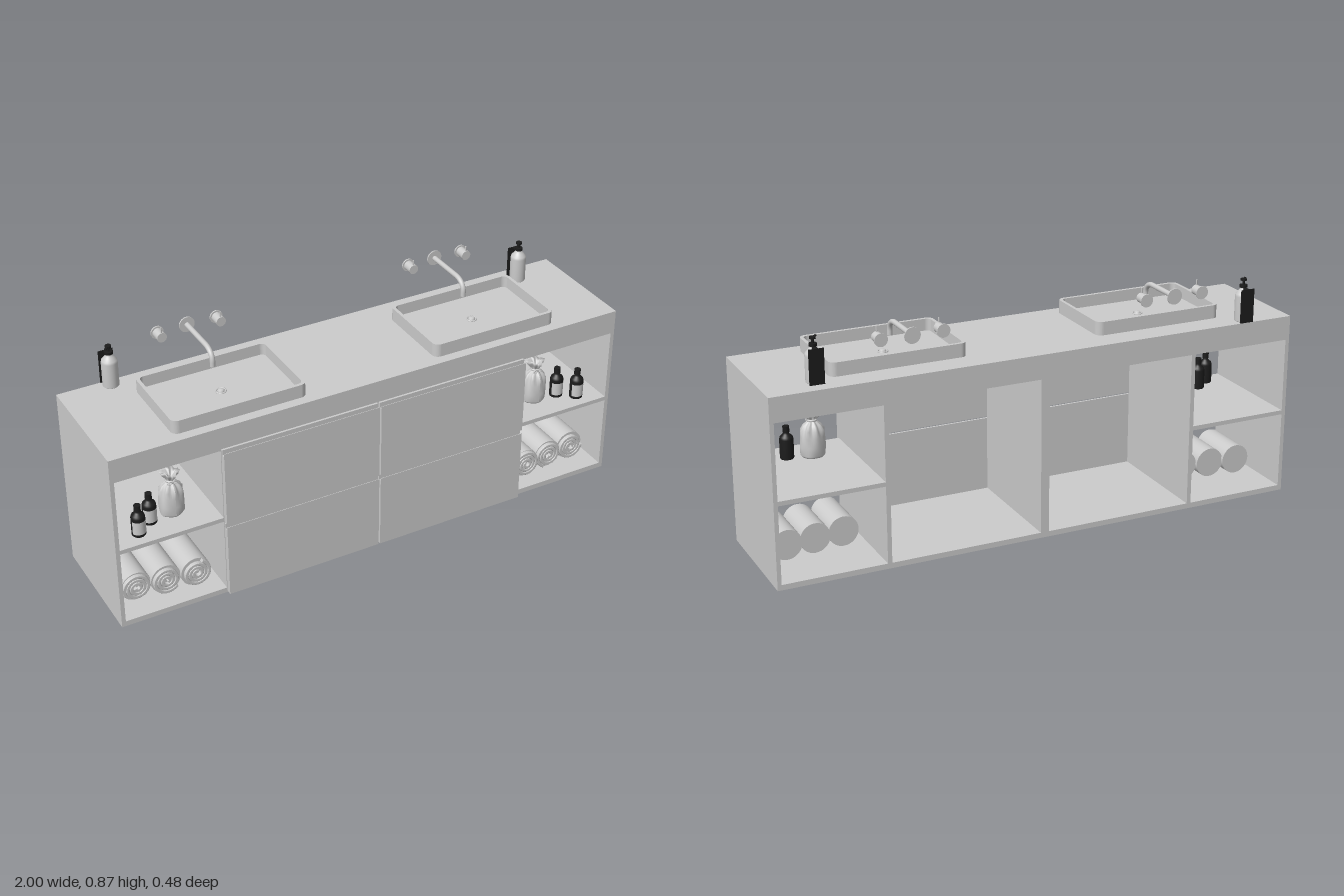
import * as THREE from 'three';

const grey = new THREE.MeshStandardMaterial({ color: 0xcccccc });
const dark = new THREE.MeshStandardMaterial({ color: 0x1c1c1c });
const thin = new THREE.MeshStandardMaterial({ color: 0xcccccc, side: THREE.DoubleSide });

function add(parent, name, geo, x = 0, y = 0, z = 0, mat = grey) {
  const m = new THREE.Mesh(geo, mat);
  m.name = name;
  m.position.set(x, y, z);
  parent.add(m);
  return m;
}

function group(parent, name, x, y, z) {
  const g = new THREE.Group();
  g.name = name;
  g.position.set(x, y, z);
  parent.add(g);
  return g;
}

// Box given by its limits on each axis
function box(parent, name, [x0, x1], [y0, y1], [z0, z1], mat) {
  return add(parent, name, new THREE.BoxGeometry(x1 - x0, y1 - y0, z1 - z0),
    (x0 + x1) / 2, (y0 + y1) / 2, (z0 + z1) / 2, mat);
}

const lathe = (pts, seg = 32) => new THREE.LatheGeometry(pts.map(p => new THREE.Vector2(...p)), seg);
const cyl = (r, h, seg = 32) => new THREE.CylinderGeometry(r, r, h, seg);
const cylZ = (r, h) => cyl(r, h).rotateX(Math.PI / 2);

function roundedRect(w, d, r, Type = THREE.Shape) {
  const s = new Type();
  s.absarc(w / 2 - r, d / 2 - r, r, 0, Math.PI / 2);
  s.absarc(-w / 2 + r, d / 2 - r, r, Math.PI / 2, Math.PI);
  s.absarc(-w / 2 + r, -d / 2 + r, r, Math.PI, Math.PI * 1.5);
  s.absarc(w / 2 - r, -d / 2 + r, r, Math.PI * 1.5, Math.PI * 2);
  s.closePath();
  return s;
}

// Drawer front: section with a finger groove along the top edge
function drawerFront(parent, name, x0, x1, y0, y1) {
  const s = new THREE.Shape([[0.217, y0], [0.238, y0], [0.238, y1 - 0.009], [0.236, y1 - 0.009],
    [0.236, y1 - 0.02], [0.225, y1 - 0.02], [0.225, y1], [0.217, y1]].map(p => new THREE.Vector2(...p)));
  const geo = new THREE.ExtrudeGeometry(s, { depth: x1 - x0, bevelEnabled: false }).rotateY(-Math.PI / 2);
  add(parent, name, geo, x1, 0, 0);
}

function basin(parent, x) {
  const g = group(parent, 'basin', x, 0.69, 0.02);
  const opts = { bevelEnabled: false, curveSegments: 8 };
  const wall = roundedRect(0.5, 0.32, 0.025);
  wall.holes.push(roundedRect(0.476, 0.296, 0.018, THREE.Path));
  add(g, 'basinWall', new THREE.ExtrudeGeometry(wall, { ...opts, depth: 0.05 }).rotateX(-Math.PI / 2));
  add(g, 'basinFloor', new THREE.ExtrudeGeometry(roundedRect(0.48, 0.3, 0.02), { ...opts, depth: 0.006 })
    .rotateX(-Math.PI / 2));
  add(g, 'drainRing', new THREE.TorusGeometry(0.017, 0.003, 8, 32).rotateX(Math.PI / 2), 0, 0.007, 0);
  add(g, 'drainPlug', lathe([[0.012, 0], [0.012, 0.006], [0.008, 0.009], [0, 0.01]]), 0, 0.005, 0);
}

function faucet(parent, x) {
  const g = group(parent, 'faucet', x, 0.829, -0.237);
  const path = new THREE.CurvePath();
  const V = (y, z) => new THREE.Vector3(0, y, z);
  path.add(new THREE.LineCurve3(V(0, 0), V(0, 0.155)));
  path.add(new THREE.CubicBezierCurve3(V(0, 0.155), V(0, 0.185), V(-0.015, 0.207), V(-0.042, 0.207)));
  path.add(new THREE.LineCurve3(V(-0.042, 0.207), V(-0.059, 0.207)));
  add(g, 'spout', new THREE.TubeGeometry(path, 48, 0.0095, 16), 0, 0, 0, thin);
  add(g, 'spoutFlange', cylZ(0.029, 0.005), 0, 0, 0.0025);
  for (const s of [-1, 1]) {
    const k = group(g, 'tapHandle', s * 0.112, 0, 0);
    add(k, 'handleFlange', cylZ(0.024, 0.005), 0, 0, 0.0025);
    add(k, 'handleKnob', cylZ(0.018, 0.042), 0, 0, 0.024);
    add(k, 'handlePin', cyl(0.0025, 0.03, 12), 0, 0.022, 0.04);
  }
}

function soapDispenser(parent, x, z) {
  const g = group(parent, 'soapDispenser', x, 0.69, z);
  add(g, 'soapBottle', lathe([[0, 0], [0.026, 0], [0.029, 0.003], [0.029, 0.094], [0.027, 0.103],
    [0.018, 0.114], [0.013, 0.12], [0.011, 0.124], [0.011, 0.13], [0, 0.13]]));
  add(g, 'collar', cyl(0.014, 0.01), 0, 0.131, 0, dark);
  add(g, 'pumpStem', cyl(0.0045, 0.018, 12), 0, 0.143, 0, dark);
  add(g, 'pumpHead', cyl(0.011, 0.007), 0, 0.155, 0, dark);
  const nozzle = add(g, 'nozzle', new THREE.BoxGeometry(0.007, 0.005, 0.026), -0.009, 0.155, 0.009, dark);
  nozzle.rotation.y = -Math.PI / 4;
  // Holder plate with an arm to the neck
  box(g, 'holderPlate', [-0.027, 0.027], [0, 0.125], [-0.032, -0.029], dark);
  box(g, 'holderArm', [-0.008, 0.008], [0.121, 0.125], [-0.031, -0.01], dark);
}

function smallBottle(parent, x, z) {
  const g = group(parent, 'smallBottle', x, 0.323, z);
  add(g, 'bottleBody', lathe([[0, 0], [0.023, 0], [0.025, 0.003], [0.025, 0.073], [0.022, 0.082],
    [0.012, 0.091], [0.01, 0.095], [0.01, 0.1], [0, 0.1]]), 0, 0, 0, dark);
  add(g, 'bottleCap', cyl(0.012, 0.022), 0, 0.109, 0, dark);
  add(g, 'bottleLabel', new THREE.CylinderGeometry(0.0256, 0.0256, 0.05, 24, 1, true, -1.3, 2.6), 0, 0.037, 0, thin);
}

// Cloth bag: lathe pressed into soft folds, tied at the neck
function clothBag(parent, x, z) {
  const g = group(parent, 'clothBag', x, 0.323, z);
  const geo = lathe([[0, 0], [0.038, 0], [0.044, 0.008], [0.046, 0.04], [0.044, 0.075], [0.04, 0.1],
    [0.03, 0.117], [0.017, 0.128], [0.013, 0.135], [0.018, 0.145], [0.028, 0.158], [0.032, 0.17], [0.02, 0.162],
    [0.006, 0.145]], 48);
  const p = geo.attributes.position;
  for (let i = 0; i < p.count; i++) {
    const [px, y, pz] = [p.getX(i), p.getY(i), p.getZ(i)];
    const a = Math.atan2(pz, px);
    const fold = y > 0.09 ? 0.13 * Math.sin(a * 8 + y * 20) : 0.03 * Math.sin(a * 5 + y * 60);
    p.setXYZ(i, px * (1 + fold), y + (y > 0.14 ? 0.005 * Math.sin(a * 3) : 0), pz * (0.88 + fold));
  }
  geo.computeVertexNormals();
  add(g, 'bagCloth', geo, 0, 0, 0, thin);
  add(g, 'bagTie', new THREE.TorusGeometry(0.0145, 0.004, 8, 24).rotateX(Math.PI / 2), 0, 0.134, 0);
  for (const s of [-1, 1]) {
    const bow = add(g, 'bowLoop', new THREE.TorusGeometry(0.008, 0.002, 6, 16), s * 0.009, 0.13, 0.017);
    bow.scale.y = 0.7;
  }
}

// Spiral band, shared by all rolled towels
function spiralGeometry() {
  const n = 110, turns = 3.4, outer = [], inner = [];
  for (let i = 0; i <= n; i++) {
    const t = i / n, a = t * turns * Math.PI * 2 - 0.8, r = 0.007 + 0.047 * t;
    outer.push(new THREE.Vector2(Math.cos(a) * r, Math.sin(a) * r));
    inner.unshift(new THREE.Vector2(Math.cos(a) * (r - 0.0085), Math.sin(a) * (r - 0.0085)));
  }
  inner.pop();
  inner.pop();
  const keep = inner.slice(0, n - 12), tip = outer.slice(12);
  return new THREE.ExtrudeGeometry(new THREE.Shape([...tip, ...keep]),
    { depth: 0.014, bevelThickness: 0.003, bevelSize: 0.0018, bevelSegments: 2 });
}

function rolledTowel(parent, spiral, x, zFront, turn) {
  const g = group(parent, 'rolledTowel', x, 0.077, zFront);
  add(g, 'towelRoll', cylZ(0.056, 0.185), 0, 0, -0.1065);
  add(g, 'towelSpiral', spiral, 0, 0, -0.017).rotation.z = turn;
}

export function createModel() {
  const model = new THREE.Group();
  model.name = 'doubleVanity';
  const Z = [-0.237, 0.217];

  // Cabinet carcass, open at the back
  const cabinet = group(model, 'cabinet', 0, 0, 0);
  box(cabinet, 'countertop', [-1, 1], [0.6, 0.69], Z);
  box(cabinet, 'bottomPanel', [-1, 1], [0, 0.02], Z);
  box(cabinet, 'centreDivider', [-0.016, 0.016], [0.02, 0.6], Z);
  for (const s of [-1, 1]) {
    const span = (a, b) => (s > 0 ? [a, b] : [-b, -a]);
    box(cabinet, 'sidePanel', span(0.985, 1), [0.02, 0.6], Z);
    box(cabinet, 'divider', span(0.586, 0.602), [0.02, 0.6], Z);
    box(cabinet, 'shelf', span(0.602, 0.985), [0.307, 0.323], Z);
    const [x0, x1] = span(0.003, 0.6);
    drawerFront(cabinet, 'lowerDrawerFront', x0, x1, 0.005, 0.302);
    drawerFront(cabinet, 'upperDrawerFront', x0, x1, 0.308, 0.606);
  }

  // Washing places
  for (const x of [-0.503, 0.501]) basin(model, x);
  for (const x of [-0.507, 0.493]) faucet(model, x);
  soapDispenser(model, -0.812, -0.205);
  soapDispenser(model, 0.814, -0.157);

  // Shelf contents
  const spiral = spiralGeometry();
  for (const s of [-1, 1]) {
    smallBottle(model, s * 0.891, 0.16);
    smallBottle(model, s * 0.831, 0.115);
    clothBag(model, s * 0.741, 0.098);
    [0.687, 0.796, 0.903].forEach((x, i) =>
      rolledTowel(model, spiral, s * x, 0.162 - i * 0.012, s * (0.6 + i * 1.9)));
  }
  return model;
}
